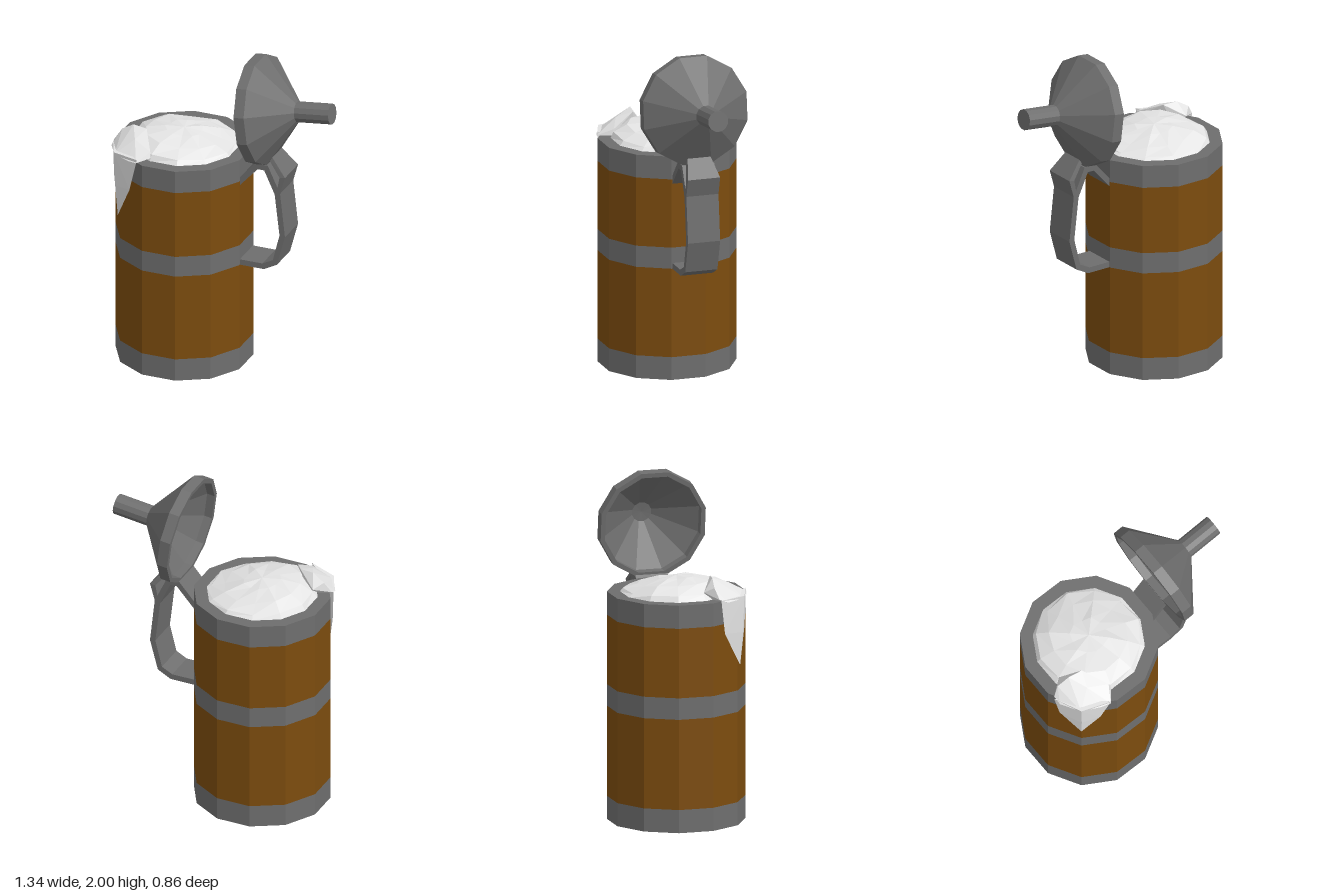
import * as THREE from 'three';
import { ConvexGeometry } from 'three/addons/geometries/ConvexGeometry.js';

const metal = new THREE.MeshStandardMaterial({ color: 0x6e6e6e });
metal.name = 'grey metal';
const wood = new THREE.MeshStandardMaterial({ color: 0x7c4c0e });
wood.name = 'brown wood';
const froth = new THREE.MeshStandardMaterial({ color: 0xe4e4e4 });
froth.name = 'white foam';

const SIDES = 12, R = 0.41, RIM_Y = 1.375, INNER = 0.332;

// Faceted mesh: every face keeps its own normal
function facet(geometry, material, name) {
  const g = geometry.index ? geometry.toNonIndexed() : geometry;
  g.computeVertexNormals();
  const mesh = new THREE.Mesh(g, material);
  mesh.name = name;
  return mesh;
}

const v2 = (list) => list.map(([x, y]) => new THREE.Vector2(x, y));
const v3 = (list) => list.map(([x, y, z]) => new THREE.Vector3(x, y, z));

// Side profile extruded to a centred width
function plate(points, width) {
  const g = new THREE.ExtrudeGeometry(new THREE.Shape(v2(points)), { depth: width, bevelEnabled: false });
  return g.translate(0, 0, -width / 2);
}

// Domed foam built from rings, higher towards the spill
function foamGeometry() {
  const rings = [[0.335, 1.372, 0], [0.31, 1.4, 0.012], [0.23, 1.437, 0.022], [0.11, 1.462, 0.01]];
  const pos = [0, 1.472, 0], index = [];
  rings.forEach(([r, y, lift], k) => {
    for (let i = 0; i < SIDES; i++) {
      const a = (i / SIDES) * Math.PI * 2;
      const wobble = k === 0 ? 0 : 0.008 * Math.sin(i * 2.3 + k);
      const rr = r + wobble;
      pos.push(rr * Math.sin(a), y + lift * Math.cos(a + Math.PI / 4) + wobble * 0.6, rr * Math.cos(a));
    }
  });
  const at = (k, i) => 1 + k * SIDES + (i % SIDES);
  for (let i = 0; i < SIDES; i++) {
    for (let k = 0; k < rings.length - 1; k++) {
      index.push(at(k, i), at(k, i + 1), at(k + 1, i + 1), at(k, i), at(k + 1, i + 1), at(k + 1, i));
    }
    index.push(at(rings.length - 1, i), at(rings.length - 1, i + 1), 0);
  }
  const g = new THREE.BufferGeometry();
  g.setAttribute('position', new THREE.Float32BufferAttribute(pos, 3));
  g.setIndex(index);
  return g;
}

export function createModel() {
  const model = new THREE.Group();
  model.name = 'tankard';

  // Body and foam share the mug axis
  const mug = new THREE.Group();
  mug.name = 'mug';
  mug.position.set(-0.258, 0, 0.016);
  model.add(mug);

  const wall = (name, y0, y1, mat) => {
    const g = new THREE.CylinderGeometry(R, R, y1 - y0, SIDES, 1, true).translate(0, (y0 + y1) / 2, 0);
    mug.add(facet(g, mat, name));
  };
  wall('bottomBand', 0, 0.14, metal);
  wall('lowerStaves', 0.14, 0.685, wood);
  wall('middleBand', 0.685, 0.815, metal);
  wall('upperStaves', 0.815, 1.235, wood);
  wall('topBand', 1.235, RIM_Y, metal);

  const base = new THREE.CircleGeometry(R, SIDES).rotateX(Math.PI / 2);
  mug.add(facet(base, metal, 'base'));
  const rim = new THREE.RingGeometry(INNER, R, SIDES).rotateX(-Math.PI / 2).translate(0, RIM_Y, 0);
  mug.add(facet(rim, metal, 'rim'));
  mug.add(facet(foamGeometry(), froth, 'foam'));

  // Foam spilling over the rim and running down the wall
  const spill = v3([
    [-0.59, 1.39, 0.26], [-0.52, 1.42, 0.17], [-0.555, 1.455, 0.23], [-0.48, 1.5, 0.22],
    [-0.39, 1.495, 0.21], [-0.27, 1.425, 0.33], [-0.26, 1.39, 0.34], [-0.3, 1.38, 0.43],
    [-0.36, 1.375, 0.427], [-0.48, 1.375, 0.405], [-0.575, 1.37, 0.31],
    [-0.45, 1.36, 0.2], [-0.4, 1.46, 0.31],
  ]);
  model.add(facet(new ConvexGeometry(spill), froth, 'foamSpill'));
  const drip = v3([
    [-0.595, 1.385, 0.27], [-0.295, 1.4, 0.427], [-0.48, 1.39, 0.41], [-0.57, 1.18, 0.292],
    [-0.36, 1.18, 0.415], [-0.475, 1.17, 0.402], [-0.47, 0.97, 0.385],
    [-0.45, 1.36, 0.33], [-0.46, 1.18, 0.34],
  ]);
  model.add(facet(new ConvexGeometry(drip), froth, 'foamDrip'));

  // Handle and lid lie in one plane, turned off the x axis
  const arm = new THREE.Group();
  arm.name = 'handleAndLid';
  arm.rotation.y = Math.PI / 12;
  mug.add(arm);

  const handle = plate([
    [0.37, 0.685], [0.55, 0.685], [0.634, 0.73], [0.685, 0.92], [0.654, 1.2], [0.575, 1.37],
    [0.495, 1.37], [0.38, 1.24], [0.38, 1.19], [0.51, 1.335], [0.552, 1.335],
    [0.619, 1.19], [0.65, 0.925], [0.607, 0.755], [0.54, 0.72], [0.37, 0.72],
  ], 0.2);
  arm.add(facet(handle, metal, 'handle'));

  // Thumb tab, narrowing towards its top
  const tab = plate([
    [0.63, 1.2], [0.654, 1.2], [0.685, 1.31], [0.588, 1.42], [0.572, 1.4], [0.65, 1.305],
  ], 0.2);
  const p = tab.attributes.position;
  for (let i = 0; i < p.count; i++) {
    const t = Math.max(0, (p.getY(i) - 1.31) / 0.11);
    p.setZ(i, p.getZ(i) * (1 - 0.3 * t));
  }
  arm.add(facet(tab, metal, 'thumbTab'));

  // Open hollow lid with a stem on its crown
  const lidProfile = v2([
    [0, 0.24], [0.06, 0.235], [0.305, 0.05], [0.305, 0], [0.333, 0], [0.333, 0.065],
    [0.063, 0.27], [0.063, 0.49], [0, 0.49],
  ]);
  const lid = facet(new THREE.LatheGeometry(lidProfile, SIDES, Math.PI / 12), metal, 'lid');
  lid.position.set(0.459, 1.677, 0);
  lid.rotation.z = THREE.MathUtils.degToRad(-83);
  arm.add(lid);

  return model;
}
